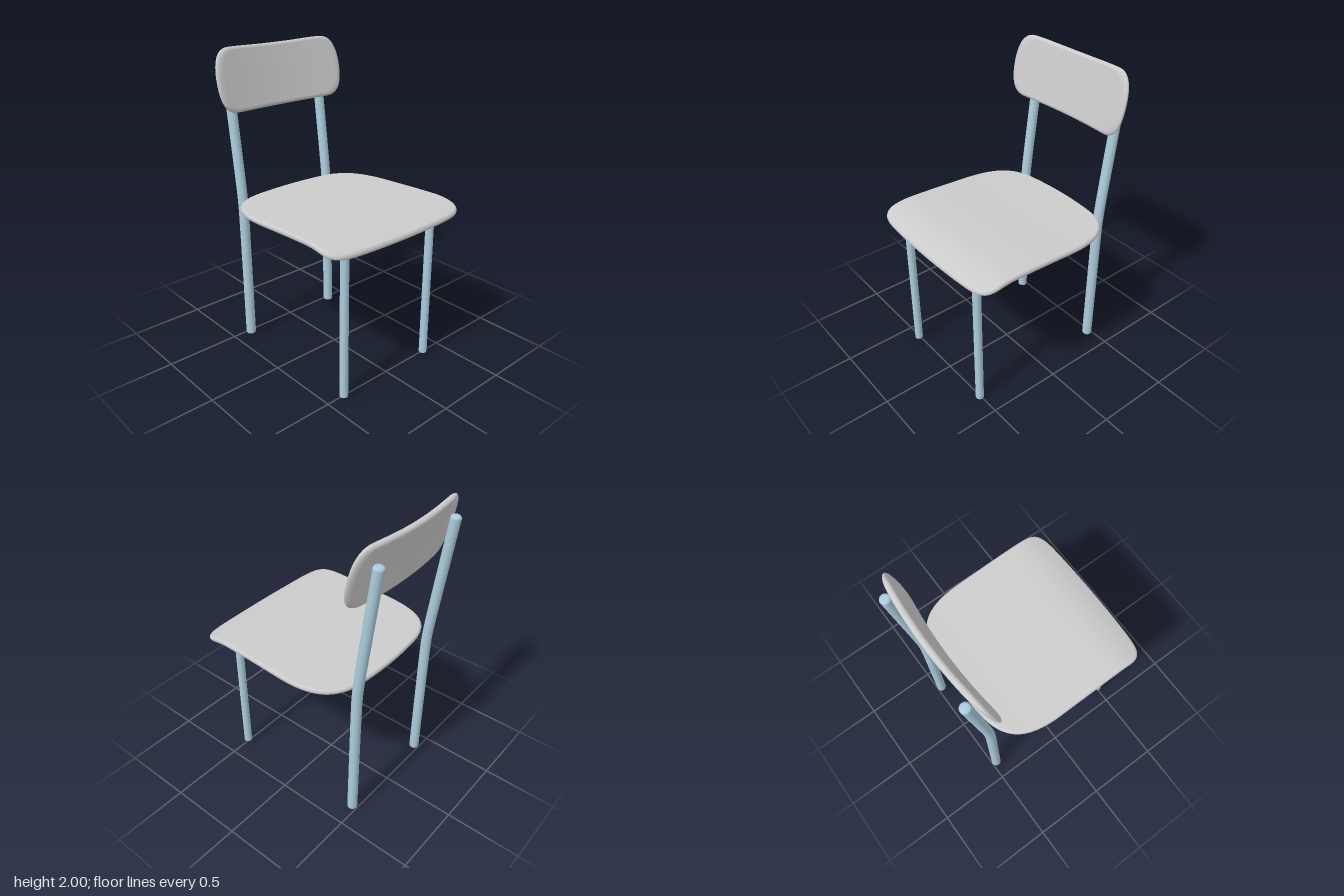
import * as THREE from 'three';

const grey = new THREE.MeshStandardMaterial({ color: 0xcccccc, roughness: 0.8 });
const blue = new THREE.MeshStandardMaterial({ color: 0xaaccdb, roughness: 0.8 });

// Closed, round-edged panel: concentric loops of an outline, placed by map(u, v, w)
function panel(shape, half, edge, map) {
  const loop = shape.getSpacedPoints(160).slice(0, -1);
  if (THREE.ShapeUtils.isClockWise(loop)) loop.reverse();
  const inner = [0, 0.15, 0.3, 0.45, 0.6, 0.7, 0.8, 0.88].map((s) => [s, 1]);
  for (let k = 0; k <= 5; k++) {
    const a = (k / 5) * Math.PI / 2;
    inner.push([1 - edge + edge * Math.sin(a), Math.cos(a)]);
  }
  const rings = [...inner.map(([s, w]) => [s, -w]), ...inner.slice(0, -1).reverse()];
  const n = loop.length, pos = [], index = [];
  rings.forEach(([s, w]) => loop.forEach((p) => pos.push(...map(p.x * s, p.y * s, w * half))));
  for (let i = 0; i < rings.length - 1; i++) {
    for (let j = 0; j < n; j++) {
      const a = i * n + j, b = i * n + (j + 1) % n;
      if (rings[i][0] > 0) index.push(a, b, b + n);
      if (rings[i + 1][0] > 0) index.push(a, b + n, a + n);
    }
  }
  const g = new THREE.BufferGeometry();
  g.setAttribute('position', new THREE.Float32BufferAttribute(pos, 3));
  g.setIndex(index);
  g.computeVertexNormals();
  return g;
}

// Seat outline drawn in (z, x), measured from the seat's middle
function seatGeometry() {
  const cx = 0.07;
  const s = new THREE.Shape();
  const curve = (...c) => s.bezierCurveTo(c[0], c[1] - cx, c[2], c[3] - cx, c[4], c[5] - cx);
  s.moveTo(0.555, -0.08 - cx);
  s.lineTo(0.555, 0.5 - cx);
  curve(0.55, 0.585, 0.5, 0.605, 0.38, 0.613);
  curve(0.15, 0.627, -0.15, 0.627, -0.38, 0.613);
  curve(-0.5, 0.605, -0.55, 0.585, -0.555, 0.5);
  s.lineTo(-0.555, -0.08 - cx);
  curve(-0.55, -0.28, -0.5, -0.42, -0.3, -0.457);
  curve(-0.1, -0.483, 0.1, -0.483, 0.3, -0.457);
  curve(0.5, -0.42, 0.55, -0.28, 0.555, -0.08);
  // Gentle rise towards the front, then a falling lip
  const height = (x) => 1.022 + 0.028 * THREE.MathUtils.smoothstep(x, -0.35, 0.45)
    - 0.85 * Math.max(0, x - 0.38) ** 2;
  return panel(s, 0.018, 0.025, (z, x, w) => [x + cx, height(x + cx) + w, z]);
}

// Backrest outline drawn in (y, z), leaning back and curved around the sitter
function backrestGeometry() {
  const s = new THREE.Shape();
  s.moveTo(0.192, 0);
  s.bezierCurveTo(0.192, 0.2, 0.2, 0.25, 0.2, 0.37);
  s.bezierCurveTo(0.2, 0.46, 0.12, 0.495, 0, 0.495);
  s.bezierCurveTo(-0.12, 0.495, -0.195, 0.46, -0.195, 0.36);
  s.bezierCurveTo(-0.2, 0.2, -0.2, -0.2, -0.195, -0.36);
  s.bezierCurveTo(-0.195, -0.46, -0.12, -0.495, 0, -0.495);
  s.bezierCurveTo(0.12, -0.495, 0.2, -0.46, 0.2, -0.37);
  s.bezierCurveTo(0.2, -0.25, 0.192, -0.2, 0.192, 0);
  return panel(s, 0.02, 0.1, (y, z, w) =>
    [-0.535 - 0.22 * y + 0.18 * z * z + w, 1.8 + y + 0.22 * w, z + 0.02]);
}

// Round post with softened ends
function post(radius, y0, y1, round) {
  const pts = [new THREE.Vector2(0, y0)];
  const arc = (k) => (k / 4) * Math.PI / 2;
  for (let k = 0; k <= 4; k++) {
    pts.push(new THREE.Vector2(radius - round + round * Math.sin(arc(k)), y0 + round - round * Math.cos(arc(k))));
  }
  for (let k = 1; k < 30; k++) {
    pts.push(new THREE.Vector2(radius, THREE.MathUtils.lerp(y0 + round, y1 - round, k / 30)));
  }
  for (let k = 0; k <= 4; k++) {
    pts.push(new THREE.Vector2(radius - round + round * Math.cos(arc(k)), y1 - round + round * Math.sin(arc(k))));
  }
  pts.push(new THREE.Vector2(0, y1));
  return new THREE.LatheGeometry(pts, 32);
}

// Rear leg: a post bent backwards above the seat
function rearLegGeometry() {
  const g = post(0.033, 0.005, 1.893, 0.016);
  const centre = (y) => -0.468 - 0.012 * y - 0.0585 * (y - 1 + Math.hypot(y - 1, 0.08));
  const p = g.attributes.position;
  for (let i = 0; i < p.count; i++) {
    const x = p.getX(i), y = p.getY(i);
    const slope = (centre(y + 0.001) - centre(y - 0.001)) / 0.002;
    const len = Math.hypot(1, slope);
    p.setXY(i, centre(y) + x / len, y - (x * slope) / len);
  }
  g.computeVertexNormals();
  return g;
}

export function createModel() {
  const chair = new THREE.Group();
  chair.name = 'chair';
  const add = (name, geometry, material, x = 0, z = 0) => {
    const m = new THREE.Mesh(geometry, material);
    m.name = name;
    m.position.set(x, 0, z);
    chair.add(m);
  };

  add('seat', seatGeometry(), grey);
  add('backrest', backrestGeometry(), grey);

  // Legs in pairs
  const rear = rearLegGeometry();
  const front = post(0.027, 0.01, 1.035, 0.004);
  for (const z of [-0.348, 0.378]) {
    add('rearLeg', rear, blue, 0, z);
    add('frontLeg', front, blue, 0.508, z);
  }
  return chair;
}
